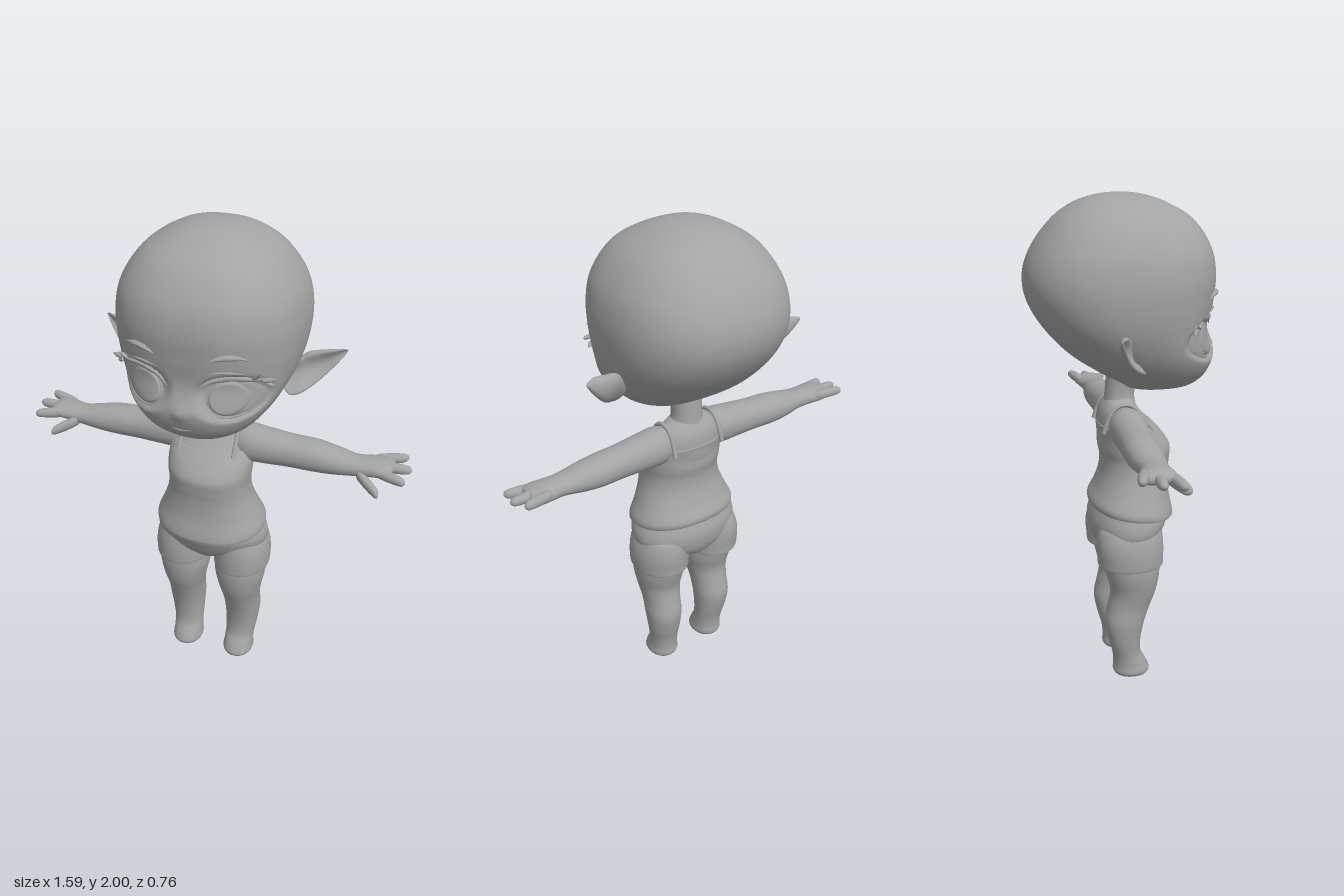
import * as THREE from 'three';

const skin = new THREE.MeshStandardMaterial({ color: 0xa3a3a3 });
skin.name = 'plain grey';

// Smooth interpolation through rows of numbers, t counted in rows
function sample(rows, t) {
  const i = Math.min(Math.floor(t), rows.length - 2), u = t - i;
  const at = k => rows[Math.max(0, Math.min(rows.length - 1, k))];
  const [a, b, c, d] = [at(i - 1), at(i), at(i + 1), at(i + 2)];
  return b.map((v, k) => v + 0.5 * u * (c[k] - a[k]
    + u * (2 * a[k] - 5 * v + 4 * c[k] - d[k] + u * (3 * (v - c[k]) + d[k] - a[k]))));
}

// Lofted tube; each row is [x, y, z, radius across, radius in depth], axis rising along x or y
function loft(name, rows, { axis = 'y', n = 2.1, seg = 40, steps = 6, warp } = {}) {
  const pos = [], idx = [], count = (rows.length - 1) * steps, p = new THREE.Vector3();
  const power = v => Math.sign(v) * Math.abs(v) ** (2 / n);
  for (let i = 0; i <= count; i++) {
    const [x, y, z, ra, rb] = sample(rows, i / steps);
    for (let j = 0; j < seg; j++) {
      const a = j / seg * Math.PI * 2, c = power(Math.cos(a)), s = power(Math.sin(a));
      if (axis === 'y') p.set(x + Math.max(0, ra) * c, y, z + Math.max(0, rb) * s);
      else p.set(x, y + Math.max(0, ra) * s, z + Math.max(0, rb) * c);
      if (warp) warp(p, z, rb);
      pos.push(p.x, p.y, p.z);
      if (i < count) {
        const k = i * seg + j, m = i * seg + (j + 1) % seg;
        idx.push(k, k + seg, m, m, k + seg, m + seg);
      }
    }
  }
  if (axis === 'x') idx.reverse();
  // x-lofts already run y = sin, z = cos, which turns the same way as y-lofts
  if (axis === 'x') idx.reverse();
  return surface(name, pos, idx);
}

function surface(name, pos, idx) {
  const g = new THREE.BufferGeometry();
  g.setAttribute('position', new THREE.Float32BufferAttribute(pos, 3));
  g.setIndex(idx);
  g.computeVertexNormals();
  const mesh = new THREE.Mesh(g, skin);
  mesh.name = name;
  return mesh;
}

// Copy of a mesh on the other side of the body
function mirrored(mesh) {
  const pos = Array.from(mesh.geometry.attributes.position.array, (v, i) => i % 3 ? v : -v);
  return surface(mesh.name.replace('left', 'right'), pos, Array.from(mesh.geometry.index.array).reverse());
}

const headRows = [
  [0, 1.235, .15, 0, 0], [0, 1.242, .145, .09, .11], [0, 1.275, .145, .175, .167],
  [0, 1.325, .12, .238, .23], [0, 1.4, .075, .293, .293], [0, 1.5, .018, .336, .328],
  [0, 1.6, -.004, .355, .361], [0, 1.7, -.005, .355, .37], [0, 1.8, .003, .329, .342],
  [0, 1.9, .008, .26, .27], [0, 1.96, 0, .17, .18], [0, 1.99, 0, .085, .09], [0, 2, 0, 0, 0]];
const HEAD_N = 2.35;

// Eye hollows and nose tip
function relief(x, y) {
  const d = ((Math.abs(x) - .172) / .125) ** 2 + ((y - 1.465) / .092) ** 2;
  const nose = Math.exp(-(x * x) / .0006 - ((y - 1.4) ** 2) / .0009);
  return .016 * nose - .024 * (1 - THREE.MathUtils.smoothstep(d, .65, 1.1));
}

// Depth of the face at a given x, y
function faceZ(x, y) {
  let lo = 0, hi = headRows.length - 1;
  for (let i = 0; i < 30; i++) {
    const mid = (lo + hi) / 2;
    if (sample(headRows, mid)[1] < y) lo = mid; else hi = mid;
  }
  const [, , z, ra, rb] = sample(headRows, lo);
  return z + rb * Math.max(0, 1 - Math.abs(x / ra) ** HEAD_N) ** (1 / HEAD_N) + relief(x, y);
}

// Oval plate that follows the face
function facePatch(name, cx, cy, rx, ry, lift) {
  const pos = [], idx = [], seg = 40, rings = 8;
  for (let i = 0; i <= rings; i++) for (let j = 0; j < seg; j++) {
    const a = j / seg * Math.PI * 2, r = i / rings;
    const x = cx + rx * r * Math.cos(a), y = cy + ry * r * Math.sin(a);
    pos.push(x, y, faceZ(x, y) + lift * (r > .99 ? -.5 : 1));
    if (i < rings) {
      const k = i * seg + j, m = i * seg + (j + 1) % seg;
      idx.push(k, k + seg, m, m, k + seg, m + seg);
    }
  }
  return surface(name, pos, idx);
}

// Round strand, thinned to points at chosen ends
function strand(name, points, r, taperStart = true, taperEnd = true) {
  const curve = new THREE.CatmullRomCurve3(points.map(p => new THREE.Vector3(...p)));
  const n = 20, radial = 8, g = new THREE.TubeGeometry(curve, n, r, radial);
  const pos = g.attributes.position, v = new THREE.Vector3();
  for (let i = 0; i <= n; i++) {
    const t = i / n, c = curve.getPointAt(t);
    const s = Math.min(1, taperStart ? .1 + 3 * t : 1, taperEnd ? .05 + 2.2 * (1 - t) : 1);
    for (let j = 0; j <= radial; j++) {
      const k = i * (radial + 1) + j;
      v.fromBufferAttribute(pos, k).sub(c).multiplyScalar(s).add(c);
      pos.setXYZ(k, v.x, v.y, v.z);
    }
  }
  const mesh = new THREE.Mesh(g, skin);
  mesh.name = name;
  return mesh;
}
const onFace = (pts, lift = .004) => pts.map(([x, y]) => [x, y, faceZ(x, y) + lift]);

export function createModel() {
  const model = new THREE.Group();
  model.name = 'chibiFigure';
  const both = mesh => model.add(mesh, mirrored(mesh));

  // Head, neck and mouth
  model.add(loft('head', headRows, { n: HEAD_N, seg: 120, steps: 9,
    warp: (p, cz) => { if (p.z > cz + .05) p.z += relief(p.x, p.y); } }));
  model.add(loft('neck', [[0, 1.12, 0, .09, .075], [0, 1.19, -.002, .07, .062], [0, 1.23, 0, .063, .06], [0, 1.3, .01, .066, .064]]));
  model.add(strand('mouth', onFace([[-.04, 1.327], [0, 1.322], [.04, 1.327]], .001), .003));

  // Eyes, lashes and brows
  both(facePatch('leftEye', .178, 1.46, .102, .07, .004));
  both(facePatch('leftIris', .16, 1.46, .074, .07, .009));
  both(strand('leftUpperLash', onFace([[.055, 1.495], [.1, 1.53], [.17, 1.545], [.24, 1.535], [.295, 1.52]], .008), .012));
  both(strand('leftLowerLash', onFace([[.11, 1.397], [.17, 1.388], [.23, 1.405], [.27, 1.44]]), .004));
  both(strand('leftEyelidCrease', onFace([[.09, 1.565], [.16, 1.573], [.24, 1.555]], .002), .005));
  both(strand('leftBrow', onFace([[.1, 1.617], [.15, 1.634], [.2, 1.632], [.238, 1.617]]), .011));
  for (const [x, y, tx, ty, tz] of [[.235, 1.535, .27, 1.565, .285], [.27, 1.525, .318, 1.53, .235], [.275, 1.51, .305, 1.495, .22]])
    both(strand('leftLashTip', [[x, y, faceZ(x, y) + .006], [tx, ty, tz]], .009, false));

  // Pointed ears with a hollow front
  both(loft('leftEar', [[.28, 1.415, -.01, .03, .02], [.31, 1.42, -.01, .058, .035], [.35, 1.44, -.02, .07, .042],
    [.4, 1.463, -.042, .06, .035], [.45, 1.493, -.068, .037, .022], [.485, 1.516, -.086, .014, .01], [.497, 1.523, -.092, 0, 0]],
  { axis: 'x', warp: (p, cz, rb) => {
    const k = rb > 0 ? (p.z - cz) / rb : 0;
    if (k > 0) p.z = cz + rb * k * (1 - 1.3 * k * k);
    p.z -= .45 * (p.y - 1.44) * THREE.MathUtils.clamp((.45 - p.x) / .1, 0, 1);
  } }));

  // Torso under the top
  model.add(loft('chest', [[0, .95, .05, .15, .12], [0, 1.03, .042, .165, .132], [0, 1.1, .012, .16, .105],
    [0, 1.15, -.005, .14, .08], [0, 1.185, -.005, .105, .062], [0, 1.205, 0, .06, .05]]));

  // Camisole with a flared hem, lower in front
  model.add(loft('top', [[0, .75, .04, .21, .155], [0, .732, .043, .226, .17], [0, .76, .04, .228, .171],
    [0, .82, .045, .202, .152], [0, .89, .054, .176, .14], [0, .95, .06, .168, .141], [0, 1, .056, .172, .146],
    [0, 1.05, .04, .174, .13], [0, 1.085, .022, .17, .116], [0, 1.1, .014, .166, .109], [0, 1.1, .014, .155, .1]],
  { n: 2.2, seg: 64, warp: p => { p.y -= .12 * (p.z - .04) * THREE.MathUtils.clamp((.9 - p.y) / .15, 0, 1); } }));
  both(strand('leftStrap', [[.115, 1.08, .115], [.113, 1.13, .075], [.112, 1.18, .035], [.112, 1.192, 0],
    [.112, 1.178, -.04], [.113, 1.13, -.07], [.115, 1.08, -.087]], .009, false, false));

  // Arm, palm and fingers
  both(loft('leftArm', [[.08, 1.11, 0, .06, .055], [.14, 1.108, .002, .077, .073], [.22, 1.104, .002, .073, .072],
    [.32, 1.1, 0, .066, .068], [.42, 1.097, -.002, .063, .069], [.5, 1.093, 0, .053, .064], [.58, 1.091, .003, .04, .053],
    [.64, 1.095, -.003, .035, .06], [.69, 1.099, -.008, .029, .068], [.72, 1.1, -.01, .018, .055], [.73, 1.1, -.01, 0, 0]],
  { axis: 'x' }));
  const finger = (name, a, b, r) => {
    const rows = [[0, .4], [.12, .9], [.5, 1], [.85, .85], [.96, .5], [1, 0]].map(([t, s]) =>
      [...a.map((v, i) => v + (b[i] - v) * t), r * s, r * s]);
    both(loft(name, rows, { axis: 'x', seg: 16, steps: 4 }));
  };
  finger('leftIndexFinger', [.65, 1.098, .03], [.785, 1.088, .066], .021);
  finger('leftMiddleFinger', [.65, 1.1, -.008], [.796, 1.1, -.012], .021);
  finger('leftLittleFinger', [.64, 1.102, -.045], [.772, 1.112, -.082], .021);
  finger('leftThumb', [.59, 1.08, .035], [.695, 1.036, .105], .024);

  // Shorts: hips and two leg sleeves with turned hems
  model.add(loft('shortsHips', [[0, .555, .01, .02, .08], [0, .575, .012, .09, .11], [0, .61, .015, .19, .135],
    [0, .65, .02, .232, .151], [0, .7, .028, .236, .161], [0, .76, .035, .215, .15]], { seg: 56 }));
  both(loft('leftShortsLeg', [[.13, .545, .018, .1, .118], [.13, .522, .018, .115, .133], [.13, .55, .018, .119, .136],
    [.13, .6, .016, .118, .138], [.125, .65, .016, .112, .134], [.115, .69, .02, .1, .12], [.11, .72, .03, .05, .06]]));

  // Legs with small rounded feet
  both(loft('leftLeg', [[.122, .004, .025, 0, 0], [.122, .003, .025, .045, .055], [.122, .022, .024, .066, .077],
    [.122, .06, .018, .064, .07], [.124, .11, .003, .064, .06], [.128, .18, -.007, .071, .069], [.13, .26, -.006, .078, .083],
    [.128, .33, .012, .08, .088], [.127, .4, .03, .092, .095], [.126, .48, .028, .108, .111], [.127, .56, .02, .108, .118]]));
  return model;
}
